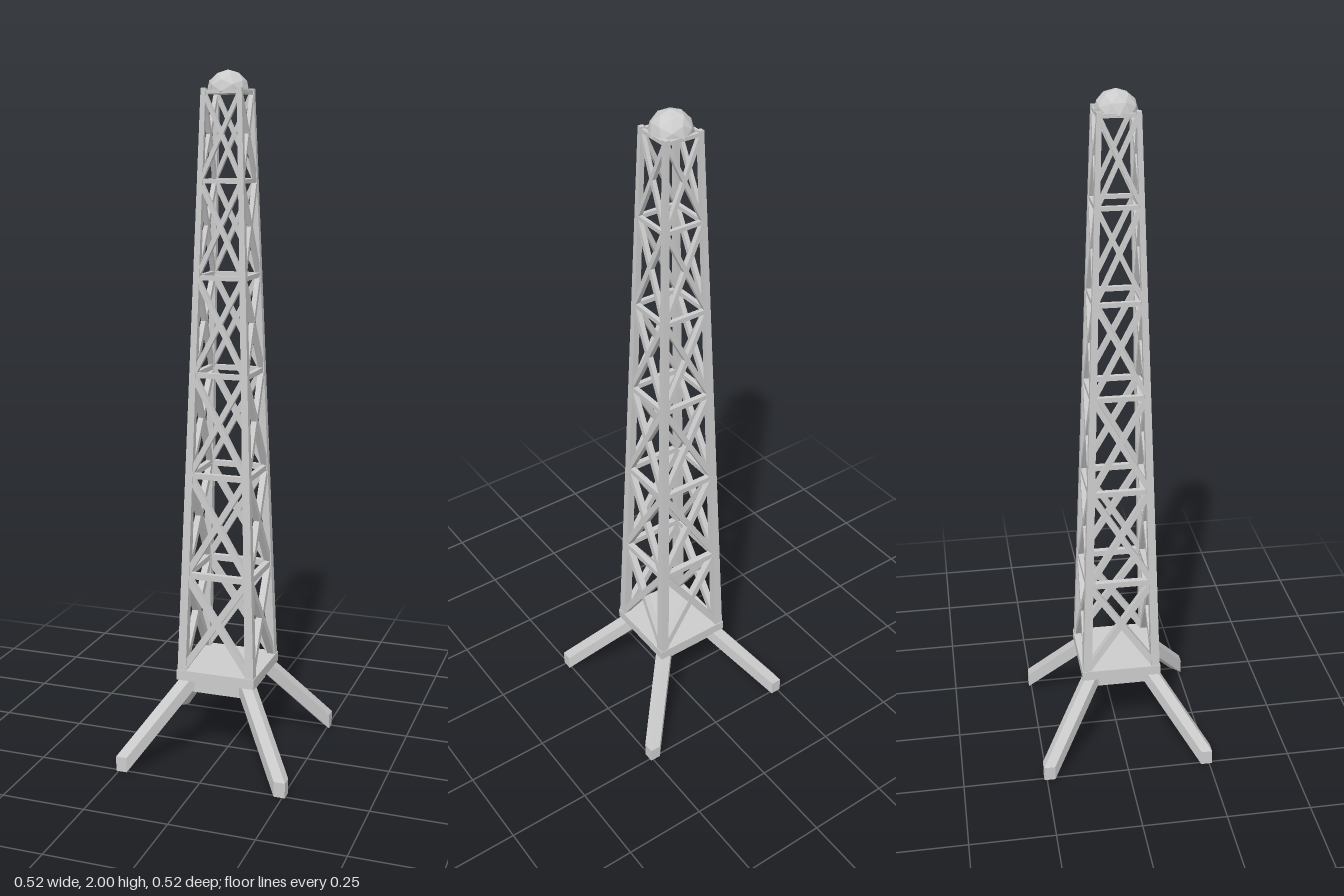
import * as THREE from 'three';
import { ConvexGeometry } from 'three/addons/geometries/ConvexGeometry.js';

const V = (x, y, z) => new THREE.Vector3(x, y, z);
const material = new THREE.MeshStandardMaterial({ color: 0xcccccc, flatShading: true });
const domeMaterial = new THREE.MeshStandardMaterial({ color: 0xcccccc, flatShading: true, side: THREE.DoubleSide });

const BOTTOM = 0.27, TOP = 1.95;
const LEVELS = [0.28, 0.57, 0.868, 1.16, 1.435, 1.7, 1.94];

// Half distance between post centres, and post thickness, at height y
const along = (y, a, b) => THREE.MathUtils.lerp(a, b, (y - BOTTOM) / (TOP - BOTTOM));
const half = (y) => along(y, 0.105, 0.052);
const thickness = (y) => along(y, 0.026, 0.014);

function add(parent, name, geometry, mat = material) {
  const mesh = new THREE.Mesh(geometry, mat);
  mesh.name = name;
  parent.add(mesh);
  return mesh;
}

// Rectangular bar from a to b, its depth facing the outward direction
function bar(parent, name, a, b, width, depth, outward) {
  const dir = b.clone().sub(a);
  const mesh = add(parent, name, new THREE.BoxGeometry(width, dir.length(), depth));
  dir.normalize();
  const side = dir.clone().cross(outward).normalize();
  const face = side.clone().cross(dir);
  mesh.quaternion.setFromRotationMatrix(new THREE.Matrix4().makeBasis(side, dir, face));
  mesh.position.copy(a).add(b).multiplyScalar(0.5);
}

// Tapering corner post
function postGeometry(sx, sz) {
  const points = [];
  for (const y of [BOTTOM, TOP])
    for (const i of [-0.5, 0.5])
      for (const j of [-0.5, 0.5])
        points.push(V(sx * half(y) + i * thickness(y), y, sz * half(y) + j * thickness(y)));
  return new ConvexGeometry(points);
}

// Splayed foot: a wedge-ended beam swept diagonally down from the platform
function legGeometry(sx, sz) {
  const points = [];
  for (const [shift, rise] of [[0, 0], [0.155, 0.22]])
    for (const [x, z] of [[0.258, 0.258], [0.225, 0.258], [0.258, 0.225]])
      for (const y of [0, 0.045])
        points.push(V(sx * (x - shift), y + rise, sz * (z - shift)));
  return new ConvexGeometry(points);
}

// One lattice side, built facing +z
function latticeSide() {
  const side = new THREE.Group();
  side.name = 'latticeSide';
  const outward = V(0, 0, 1);
  LEVELS.forEach((y, i) => {
    const h = half(y);
    const t = thickness(y) * 0.75;
    if (i > 0) bar(side, 'crossbar', V(-h, y, h), V(h, y, h), t, t, outward);
    if (i === LEVELS.length - 1) return;
    const y2 = LEVELS[i + 1];
    const h2 = half(y2);
    for (const s of [-1, 1])
      bar(side, 'diagonalBrace', V(s * h, y, h), V(-s * h2, y2, h2), t, t, outward);
  });
  return side;
}

export function createModel() {
  const model = new THREE.Group();
  model.name = 'latticeTower';

  // Platform with a smaller block beneath it
  add(model, 'platform', new THREE.BoxGeometry(0.24, 0.03, 0.24)).position.y = 0.265;
  add(model, 'platformBlock', new THREE.BoxGeometry(0.18, 0.05, 0.18)).position.y = 0.23;

  // Legs and corner posts
  for (const sx of [-1, 1])
    for (const sz of [-1, 1]) {
      add(model, 'leg', legGeometry(sx, sz));
      add(model, 'cornerPost', postGeometry(sx, sz));
    }

  // Four braced sides
  for (let i = 0; i < 4; i++) {
    const side = latticeSide();
    side.rotation.y = (i * Math.PI) / 2;
    model.add(side);
  }

  // Faceted lamp dome, flattened underneath
  const dome = new THREE.IcosahedronGeometry(0.06, 1);
  const p = dome.attributes.position;
  for (let i = 0; i < p.count; i++) p.setY(i, Math.max(p.getY(i), -0.005));
  dome.computeVertexNormals();
  dome.scale(1, 0.06 / dome.boundingSphere?.radius || 1, 1);
  dome.computeBoundingBox();
  add(model, 'lampDome', dome, domeMaterial).position.y = 2 - dome.boundingBox.max.y;

  return model;
}
